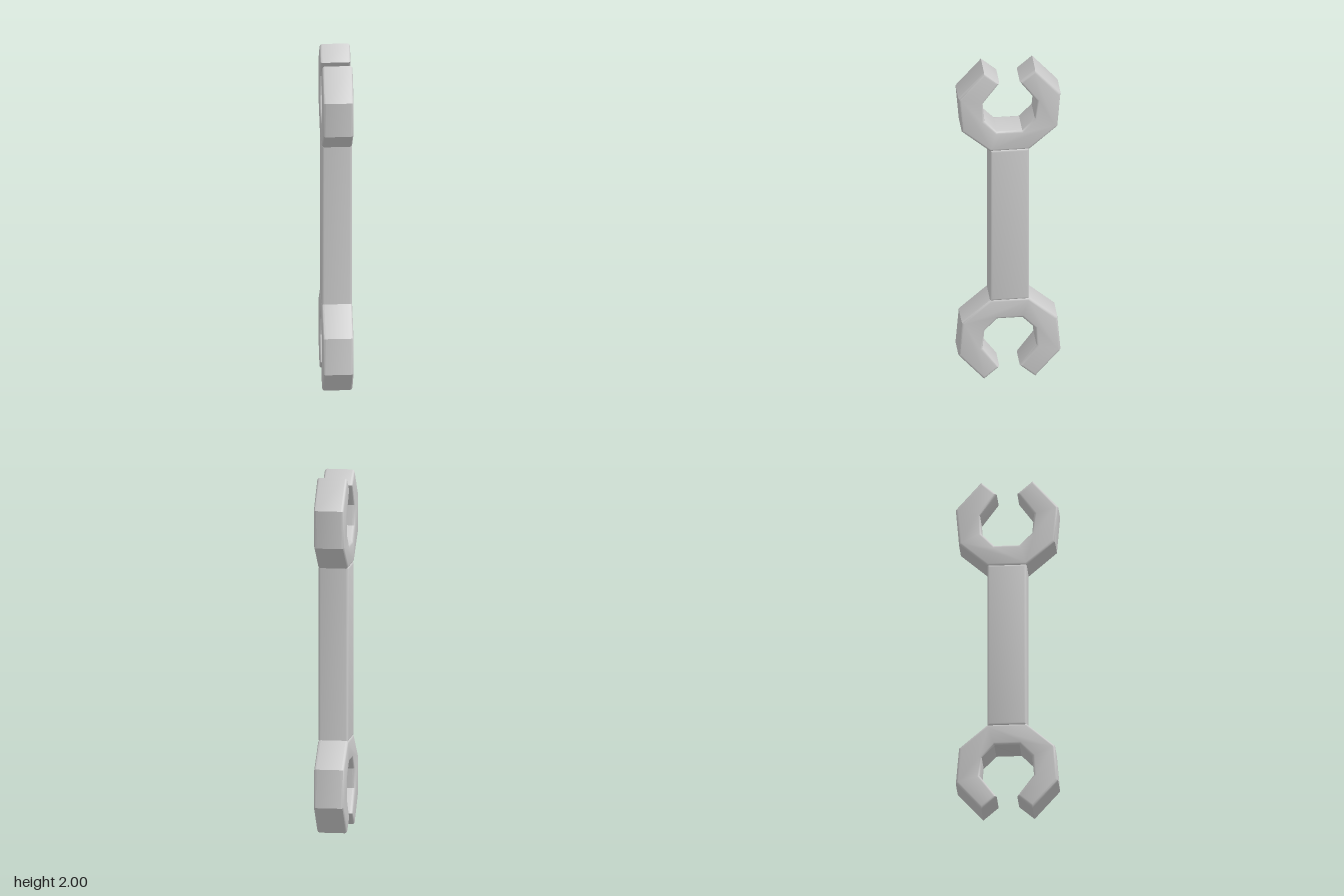
import * as THREE from 'three';
import { toCreasedNormals } from 'three/addons/utils/BufferGeometryUtils.js';

const BEVEL = 0.015;
const HALF_THICKNESS = 0.085;

// Extrudes a half outline, mirrored across z, into a plate with rounded edges facing +x and -x.
function plate(half) {
  const mirrored = half.map(([z, y]) => [-z, y]).reverse();
  const shape = new THREE.Shape([...half, ...mirrored].map(([z, y]) => new THREE.Vector2(z, y)));
  const depth = 2 * (HALF_THICKNESS - BEVEL);
  const geometry = new THREE.ExtrudeGeometry(shape, {
    depth,
    bevelThickness: BEVEL,
    bevelSize: BEVEL,
    bevelOffset: -BEVEL,
    bevelSegments: 3,
  });
  geometry.translate(0, 0, -depth / 2);
  geometry.rotateY(-Math.PI / 2);
  return toCreasedNormals(geometry, THREE.MathUtils.degToRad(35));
}

export function createModel() {
  const group = new THREE.Group();
  group.name = 'openEndedWrench';
  const material = new THREE.MeshStandardMaterial({ color: 0xcccccc });

  const add = (name, geometry) => {
    const mesh = new THREE.Mesh(geometry, material);
    mesh.name = name;
    group.add(mesh);
    return mesh;
  };

  // Faceted open jaw, heights measured from the middle of the wrench
  const jaw = plate([
    [0.11, 0.485], [0.267, 0.623], [0.285, 0.837], [0.143, 1.0],
    [0.057, 0.925], [0.15, 0.797], [0.14, 0.685], [0.07, 0.611],
  ]);
  add('upperJaw', jaw).position.y = 1;
  const lowerJaw = add('lowerJaw', jaw);
  lowerJaw.position.y = 1;
  lowerJaw.rotation.x = Math.PI;

  // Straight handle, slightly overlapping the jaws so a fine groove remains
  add('handle', plate([[0.11, -0.492], [0.11, 0.492]])).position.y = 1;

  return group;
}
